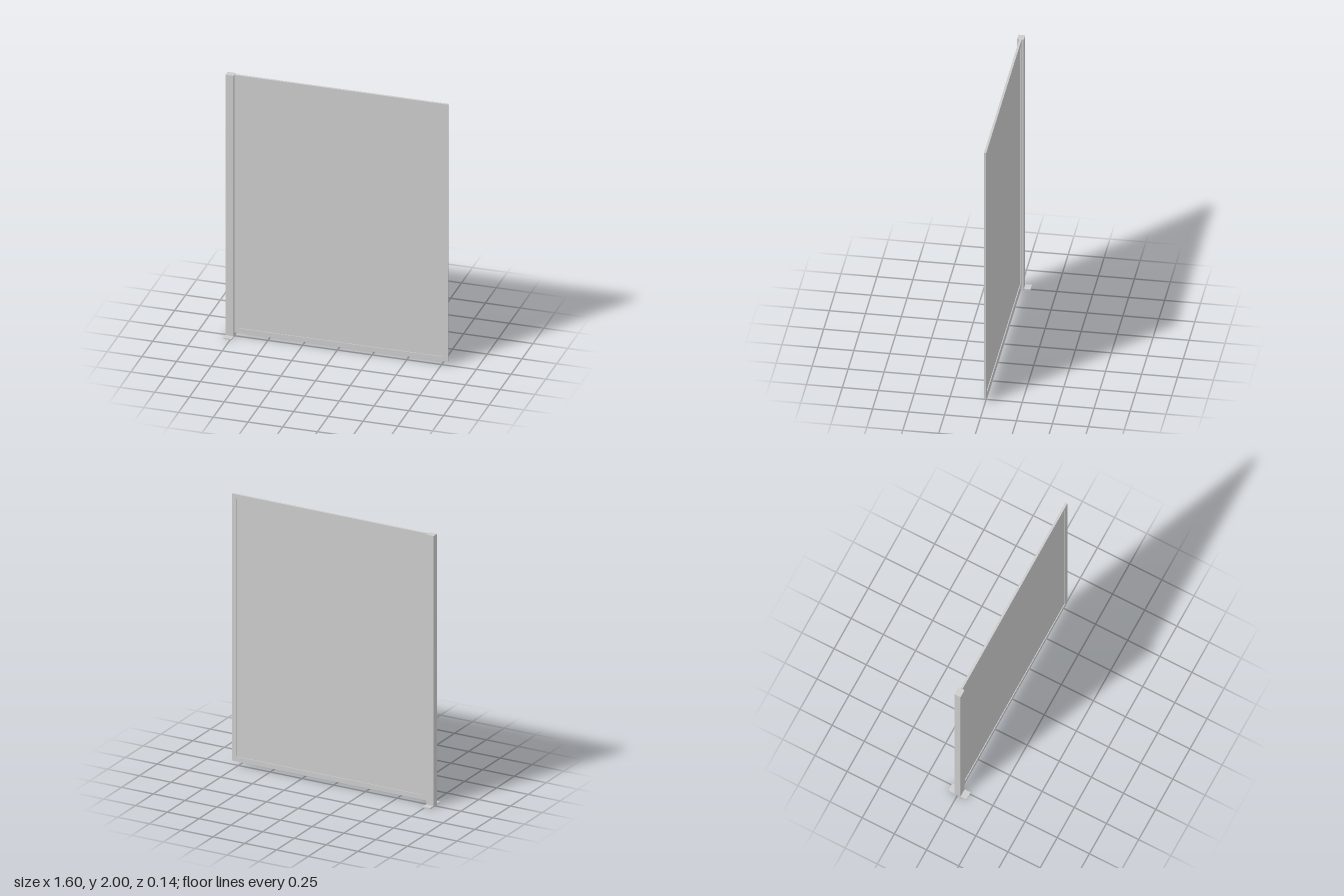
import * as THREE from 'three';

const material = new THREE.MeshStandardMaterial({ color: 0xcccccc });

function add(group, name, geometry, x, y, z = 0) {
  const mesh = new THREE.Mesh(geometry, material);
  mesh.name = name;
  mesh.position.set(x, y, z);
  group.add(mesh);
  return mesh;
}

// Rounded rectangle in plan (x, z), standing on y = 0
function roundedColumn(w, d, h, r) {
  const a = w / 2 - r, b = d / 2 - r;
  const s = new THREE.Shape();
  s.absarc(a, b, r, 0, Math.PI / 2);
  s.absarc(-a, b, r, Math.PI / 2, Math.PI);
  s.absarc(-a, -b, r, Math.PI, Math.PI * 1.5);
  s.absarc(a, -b, r, Math.PI * 1.5, Math.PI * 2);
  s.closePath();
  const g = new THREE.ExtrudeGeometry(s, { depth: h, bevelEnabled: false, curveSegments: 4 });
  return g.rotateX(-Math.PI / 2);
}

function rectangle(Type, x0, y0, x1, y1) {
  const p = new Type();
  p.moveTo(x0, y0);
  p.lineTo(x1, y0);
  p.lineTo(x1, y1);
  p.lineTo(x0, y1);
  p.closePath();
  return p;
}

export function createModel() {
  const group = new THREE.Group();
  group.name = 'fencePanel';

  // Post on its foot plate
  const postX = -0.769;
  add(group, 'footPlate', roundedColumn(0.06, 0.143, 0.008, 0.004), postX, 0);
  add(group, 'post', roundedColumn(0.06, 0.048, 1.992, 0.005), postX, 0.008);

  // Square-tube frame around the infill
  const left = -0.738, right = 0.798, bottom = 0.03, top = 2, bar = 0.035, depth = 0.016;
  const outline = rectangle(THREE.Shape, left, bottom, right, top);
  outline.holes.push(rectangle(THREE.Path, left + bar, bottom + bar, right - bar, top - bar));
  add(group, 'frame', new THREE.ExtrudeGeometry(outline, { depth, bevelEnabled: false }), 0, 0, -depth / 2);

  // Recessed infill sheet
  add(group, 'infillSheet',
    new THREE.BoxGeometry(right - left - 2 * bar, top - bottom - 2 * bar, 0.005),
    (left + right) / 2, (top + bottom) / 2);

  return group;
}
